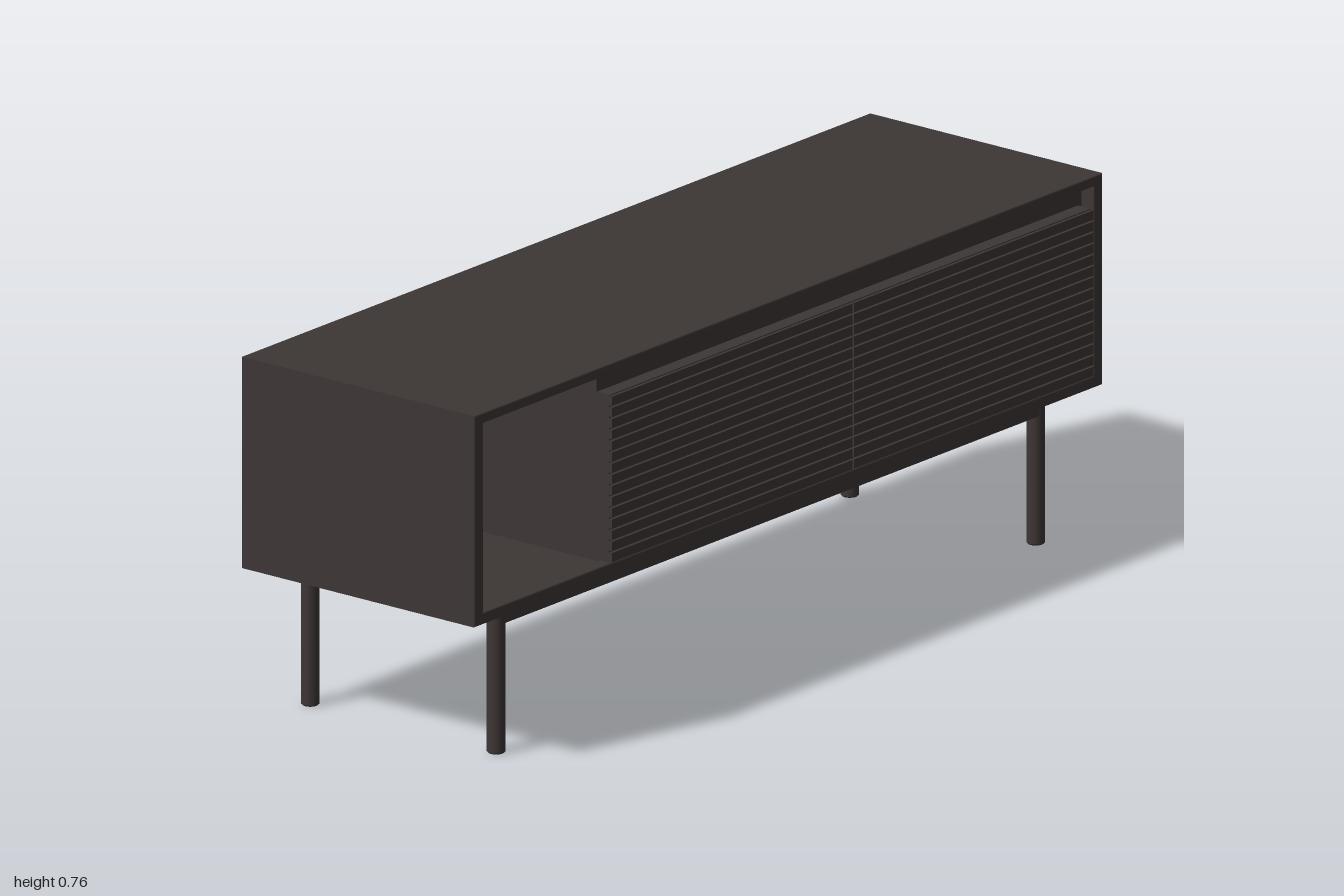
import * as THREE from 'three';

export function createModel() {
  const root = new THREE.Group();
  root.name = 'sideboard';
  const wood = new THREE.MeshStandardMaterial({ color: 0x3d3635 });
  wood.name = 'dark stained wood';

  const add = (name, geometry, parent = root) => {
    const mesh = new THREE.Mesh(geometry, wood);
    mesh.name = name;
    parent.add(mesh);
    return mesh;
  };
  // Box given by its limits on each axis
  const box = (name, x0, x1, y0, y1, z0, z1, parent) => {
    const mesh = add(name, new THREE.BoxGeometry(x1 - x0, y1 - y0, z1 - z0), parent);
    mesh.position.set((x0 + x1) / 2, (y0 + y1) / 2, (z0 + z1) / 2);
    return mesh;
  };
  const rect = (PathType, x0, x1, y0, y1) => {
    const p = new PathType();
    p.moveTo(x0, y0);
    p.lineTo(x1, y0);
    p.lineTo(x1, y1);
    p.lineTo(x0, y1);
    p.closePath();
    return p;
  };

  // Case: one open box sleeve with softened edges
  const bevel = 0.003;
  const sleeve = rect(THREE.Shape, -1, 1, 0.312, 0.76);
  sleeve.holes.push(rect(THREE.Path, -0.972, 0.972, 0.337, 0.738));
  const caseGeo = new THREE.ExtrudeGeometry(sleeve, {
    depth: 0.605 - 2 * bevel, bevelSize: bevel, bevelThickness: bevel,
    bevelOffset: -bevel, bevelSegments: 2,
  });
  caseGeo.translate(0, 0, -0.305 + bevel);
  add('case', caseGeo);

  // Back panel with cable holes
  const back = rect(THREE.Shape, -0.972, 0.972, 0.337, 0.738);
  const holes = [[-0.82, 0.475], [-0.137, 0.622], [-0.137, 0.447], [0.608, 0.622], [0.608, 0.447]];
  for (const [x, y] of holes) {
    const hole = new THREE.Path();
    hole.absarc(x, y, 0.047, 0, Math.PI * 2, true);
    back.holes.push(hole);
  }
  const backGeo = new THREE.ExtrudeGeometry(back, { depth: 0.015, bevelEnabled: false, curveSegments: 32 });
  backGeo.translate(0, 0, -0.297);
  add('backPanel', backGeo);

  // Inner dividers, shelf, and the rail above the doors
  box('openBayDivider', -0.573, -0.548, 0.337, 0.738, -0.282, 0.268);
  box('middleDivider', 0.185, 0.21, 0.337, 0.738, -0.282, 0.26);
  box('shelf', -0.548, 0.972, 0.525, 0.543, -0.282, 0.24);
  box('doorTopRail', -0.573, 0.972, 0.68, 0.738, 0.25, 0.268);

  // Two slatted sliding doors
  const slats = 15, y0 = 0.34, y1 = 0.695, pitch = (y1 - y0) / slats;
  [[-0.573, 0.194], [0.198, 0.961]].forEach(([x0, x1], i) => {
    const door = new THREE.Group();
    door.name = i ? 'leftDoor' : 'rightDoor';
    root.add(door);
    box('doorBoard', x0, x1, y0, y1, 0.268, 0.301, door);
    for (let k = 0; k < slats; k++) {
      const y = y0 + k * pitch;
      box('slat', x0, x1, y + 0.002, y + pitch - 0.002, 0.301, 0.308, door);
    }
  });

  // Base frame and round legs
  const base = new THREE.Group();
  base.name = 'base';
  root.add(base);
  for (const s of [-1, 1]) {
    const rail = box('longRail', -0.86, 0.86, 0.275, 0.312, -0.015, 0.015, base);
    rail.position.z = s * 0.243;
    const crossRail = box('crossRail', -0.015, 0.015, 0.275, 0.312, -0.243, 0.243, base);
    crossRail.position.x = s * 0.86;
    for (const t of [-1, 1]) {
      const r = 0.019, c = 0.003;
      const profile = [[0, 0], [r - c, 0], [r, c], [r, c], [r, 0.312], [r, 0.312], [0, 0.312]];
      const leg = add('leg', new THREE.LatheGeometry(profile.map(([x, y]) => new THREE.Vector2(x, y)), 32), base);
      leg.position.set(s * 0.859, 0, t * 0.241);
    }
  }
  return root;
}
